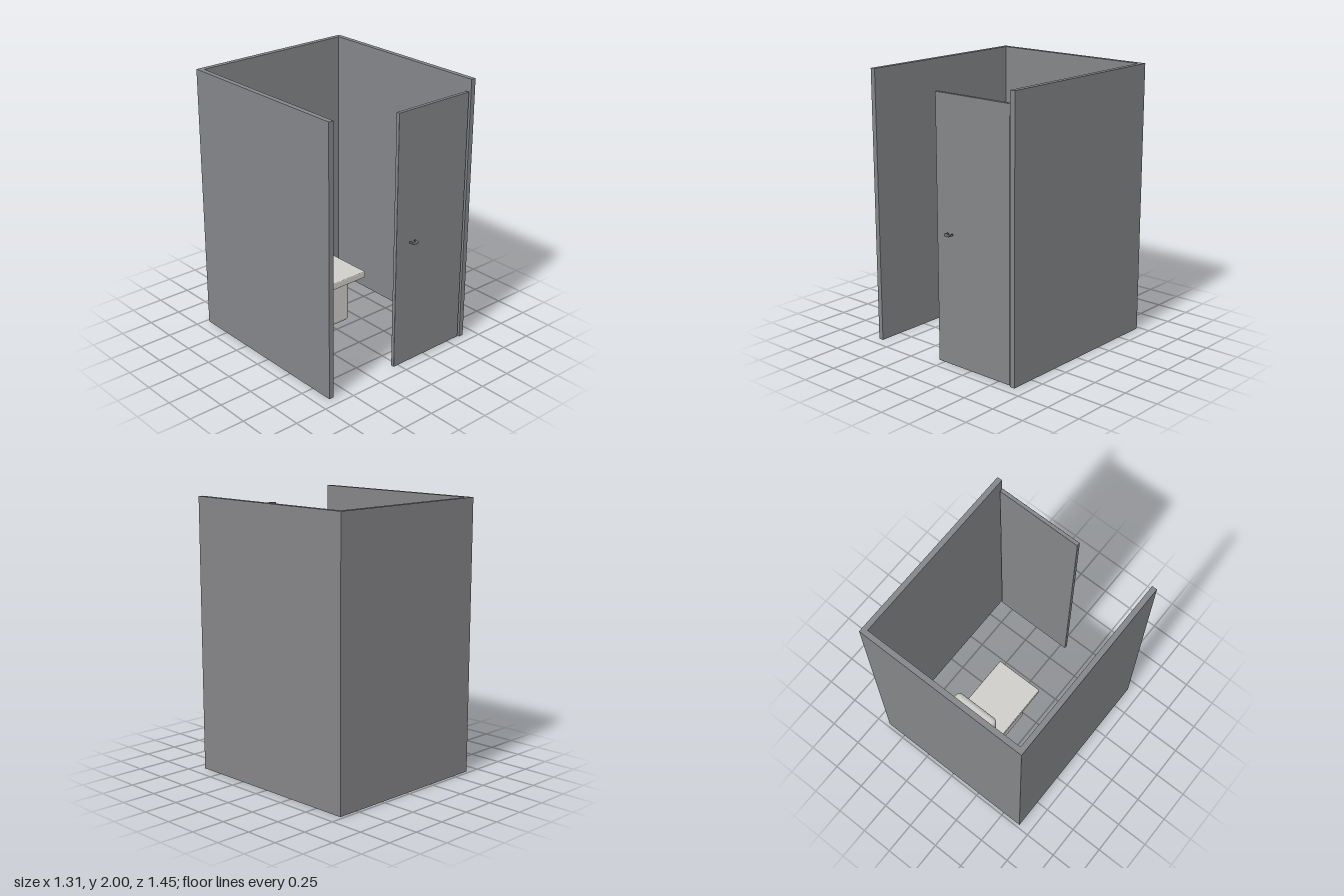
import * as THREE from 'three';
import { RoundedBoxGeometry } from 'three/addons/geometries/RoundedBoxGeometry.js';

export function createModel() {
  const group = new THREE.Group();
  const mat = (name, color) => {
    const m = new THREE.MeshStandardMaterial({ color });
    m.name = name;
    return m;
  };
  const panelGrey = mat('panel grey', 0x848588);
  const ceramic = mat('ceramic white', 0xcecdc9);
  const metal = mat('handle metal', 0x77787a);

  // Box given by its extents on each axis; a radius rounds its edges
  const box = (name, material, [x0, x1], [y0, y1], [z0, z1], radius = 0) => {
    const size = [x1 - x0, y1 - y0, z1 - z0];
    const geometry = radius
      ? new RoundedBoxGeometry(...size, 4, radius)
      : new THREE.BoxGeometry(...size);
    const mesh = new THREE.Mesh(geometry, material);
    mesh.name = name;
    mesh.position.set((x0 + x1) / 2, (y0 + y1) / 2, (z0 + z1) / 2);
    group.add(mesh);
  };

  // Cubicle walls
  box('leftWall', panelGrey, [0.616, 0.654], [0, 2], [-0.727, 0.677]);
  box('rightWall', panelGrey, [-0.654, -0.616], [0, 2], [-0.727, 0.677]);
  box('backWall', panelGrey, [-0.616, 0.616], [0, 2], [-0.727, -0.688]);

  // Door
  box('door', panelGrey, [-0.046, 0.606], [0.003, 1.912], [0.641, 0.669], 0.003);

  // Handle: two prongs and a grip
  for (const x of [0.068, 0.11]) {
    box('handleProng', metal, [x - 0.005, x + 0.005], [0.951, 0.963], [0.683, 0.712]);
  }
  box('handleGrip', metal, [0.066, 0.112], [0.947, 0.967], [0.707, 0.723], 0.006);

  // Toilet
  box('toiletBase', ceramic, [-0.14, 0.14], [0.025, 0.415], [-0.395, -0.01], 0.036);
  box('toiletSeat', ceramic, [-0.19, 0.19], [0.415, 0.465], [-0.43, 0.102], 0.006);
  box('toiletTank', ceramic, [-0.18, 0.18], [0.42, 0.912], [-0.578, -0.382], 0.036);

  return group;
}
